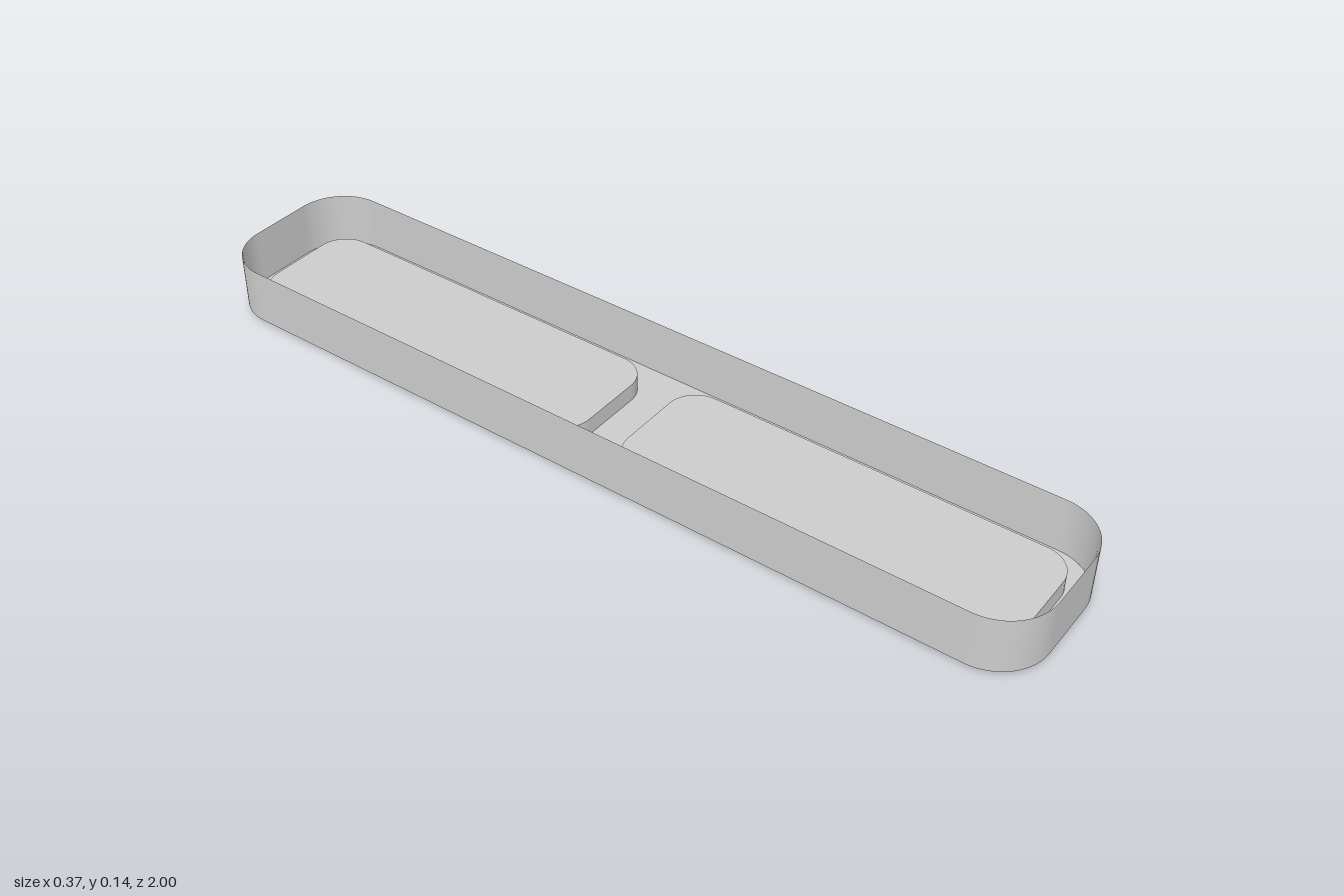
import * as THREE from 'three';

const FLOOR_Y = 0.01, RIM_Y = 0.137, DECK_Y = 0.05;

const material = new THREE.MeshStandardMaterial({ color: 0xcccccc, side: THREE.DoubleSide });

// Rounded rectangle centred on (cx, cy), counter-clockwise
function roundedRect(Type, halfW, halfL, r, cx = 0, cy = 0) {
  const s = new Type();
  s.absarc(cx + halfW - r, cy - halfL + r, r, -Math.PI / 2, 0);
  s.absarc(cx + halfW - r, cy + halfL - r, r, 0, Math.PI / 2);
  s.absarc(cx - halfW + r, cy + halfL - r, r, Math.PI / 2, Math.PI);
  s.absarc(cx - halfW + r, cy - halfL + r, r, Math.PI, Math.PI * 1.5);
  s.closePath();
  return s;
}

// Flat horizontal sheet from a shape
function sheet(shape, y) {
  return new THREE.ShapeGeometry(shape, 10).rotateX(-Math.PI / 2).translate(0, y, 0);
}

// Thin upright band that follows a closed outline
function band(outline, y0, y1) {
  const pts = outline.getPoints(10).filter((p, i, a) => i === 0 || p.distanceTo(a[i - 1]) > 1e-5);
  if (pts[0].distanceTo(pts[pts.length - 1]) < 1e-5) pts.pop();
  const pos = [], index = [], n = pts.length;
  pts.forEach((p, i) => {
    pos.push(p.x, y0, -p.y, p.x, y1, -p.y);
    const a = 2 * i, b = 2 * ((i + 1) % n);
    index.push(a, b, b + 1, a, b + 1, a + 1);
  });
  const g = new THREE.BufferGeometry();
  g.setAttribute('position', new THREE.Float32BufferAttribute(pos, 3));
  g.setIndex(index);
  g.computeVertexNormals();
  return g;
}

// Bar under a deck, with its lower ends chamfered
function runnerGeometry(width, halfL) {
  const c = 0.012;
  const side = new THREE.Shape([
    new THREE.Vector2(-halfL + c, 0), new THREE.Vector2(halfL - c, 0),
    new THREE.Vector2(halfL, c), new THREE.Vector2(halfL, DECK_Y - 0.001),
    new THREE.Vector2(-halfL, DECK_Y - 0.001), new THREE.Vector2(-halfL, c),
  ]);
  return new THREE.ExtrudeGeometry(side, { depth: width, bevelEnabled: false })
    .translate(0, 0, -width / 2).rotateY(-Math.PI / 2);
}

export function createModel() {
  const model = new THREE.Group();
  model.name = 'tray';
  const add = (name, geometry) => {
    const mesh = new THREE.Mesh(geometry, material);
    mesh.name = name;
    model.add(mesh);
    return mesh;
  };

  // Outer wall and floor with two openings
  const outline = roundedRect(THREE.Shape, 0.187, 1, 0.115);
  add('outerWall', band(outline, FLOOR_Y, RIM_Y));
  for (const s of [-1, 1]) outline.holes.push(roundedRect(THREE.Path, 0.14, 0.45, 0.068, 0, s * 0.5));
  add('floor', sheet(outline, FLOOR_Y));

  // Raised decks, hollow below, each with a pair of runners
  for (const s of [-1, 1]) {
    const end = s > 0 ? 'front' : 'back';
    const deck = roundedRect(THREE.Shape, 0.14, 0.45, 0.068, 0, -s * 0.5);
    add(end + 'Deck', sheet(deck, DECK_Y));
    add(end + 'DeckStep', band(deck, FLOOR_Y, DECK_Y));
    for (const side of [-1, 1]) {
      const runner = add(end + (side > 0 ? 'Left' : 'Right') + 'Runner', runnerGeometry(0.071, 0.425));
      runner.position.set(side * 0.0625, 0, s * 0.5);
    }
  }
  return model;
}
